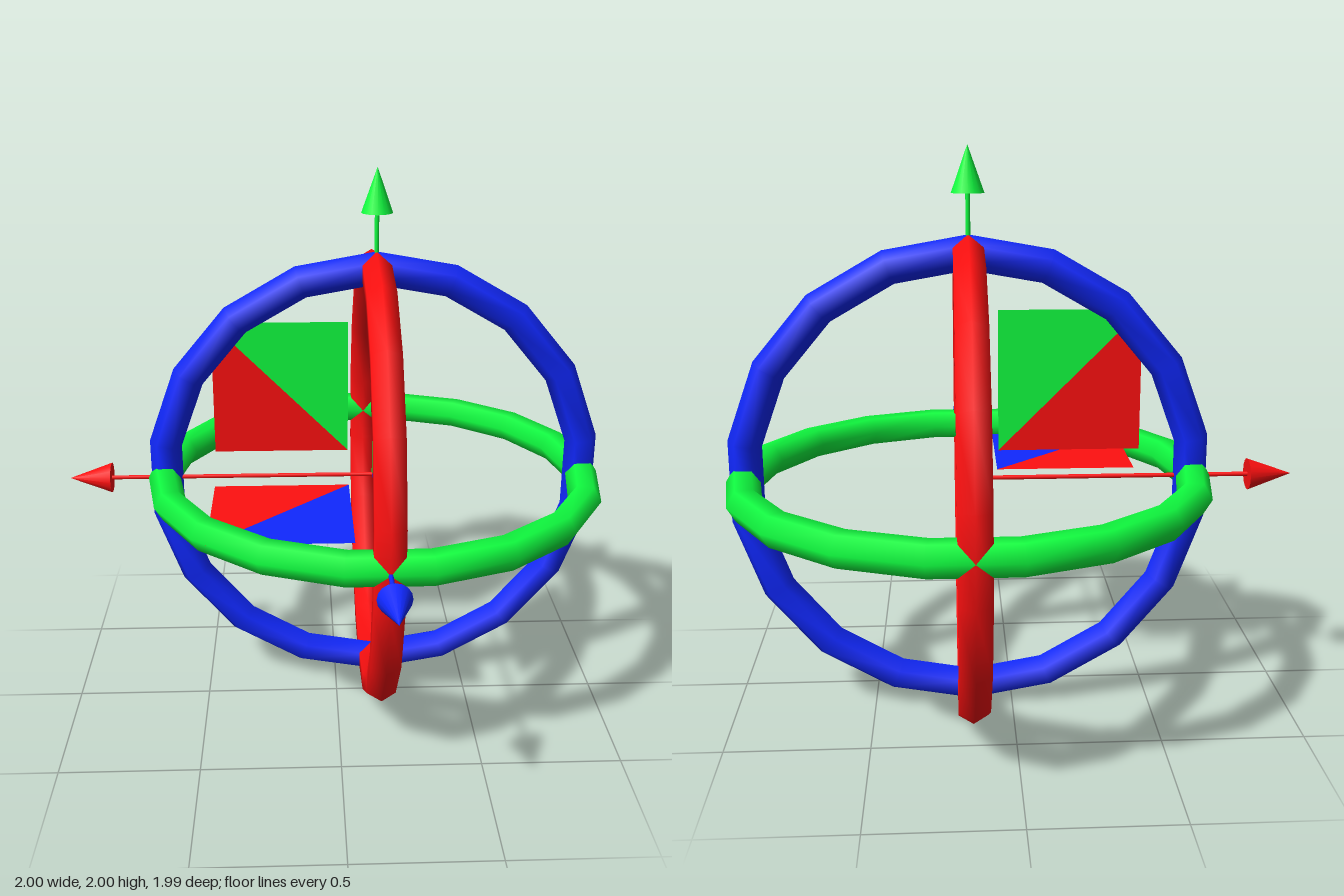
import * as THREE from 'three';

const RING = 0.793, TUBE = 0.06, TIP = 1.147, HEAD = 0.157;
const NEAR = 0.1, FAR = 0.597;

export function createModel() {
  const group = new THREE.Group();
  const add = (name, geometry, material) => {
    const mesh = new THREE.Mesh(geometry, material);
    mesh.name = name;
    group.add(mesh);
  };

  const q = Math.PI / 2;
  const axes = [
    { name: 'red', color: 0xff1010, dir: new THREE.Vector3(-1, 0, 0), turnRing: g => g.rotateZ(q).rotateY(q) },
    { name: 'green', color: 0x10ff40, dir: new THREE.Vector3(0, 1, 0), turnRing: g => g.rotateX(q) },
    { name: 'blue', color: 0x1028ff, dir: new THREE.Vector3(0, 0, 1), turnRing: g => g.rotateZ(q) },
  ];
  const up = new THREE.Vector3(0, 1, 0);

  for (const axis of axes) {
    const solid = new THREE.MeshStandardMaterial({ color: axis.color });
    const thin = new THREE.MeshStandardMaterial({ color: axis.color, side: THREE.DoubleSide });
    const turn = new THREE.Quaternion().setFromUnitVectors(up, axis.dir);

    // Rotation ring: hexagonal tube, 18 segments
    add(axis.name + 'Ring', axis.turnRing(new THREE.TorusGeometry(RING, TUBE, 6, 18)), solid);

    // Arrow: thin shaft from the centre and a cone head
    const shaft = new THREE.CylinderGeometry(0.008, 0.008, TIP - HEAD, 8);
    add(axis.name + 'Shaft', shaft.translate(0, (TIP - HEAD) / 2, 0).applyQuaternion(turn), solid);
    const head = new THREE.ConeGeometry(0.056, HEAD, 16);
    add(axis.name + 'ArrowHead', head.translate(0, TIP - HEAD / 2, 0).applyQuaternion(turn), solid);

    // Half of each plane square that borders this axis
    for (const other of axes) {
      if (other === axis) continue;
      const corner = (a, b) => axis.dir.clone().multiplyScalar(a).addScaledVector(other.dir, b);
      const half = new THREE.BufferGeometry().setFromPoints(
        [corner(NEAR, NEAR), corner(FAR, NEAR), corner(FAR, FAR)]);
      half.computeVertexNormals();
      add(axis.name + 'HalfPlaneBeside' + other.name, half, thin);
    }
  }

  group.position.set(0.147, 0.853, -0.153);
  const model = new THREE.Group();
  model.name = 'transformGizmo';
  model.add(group);
  return model;
}
